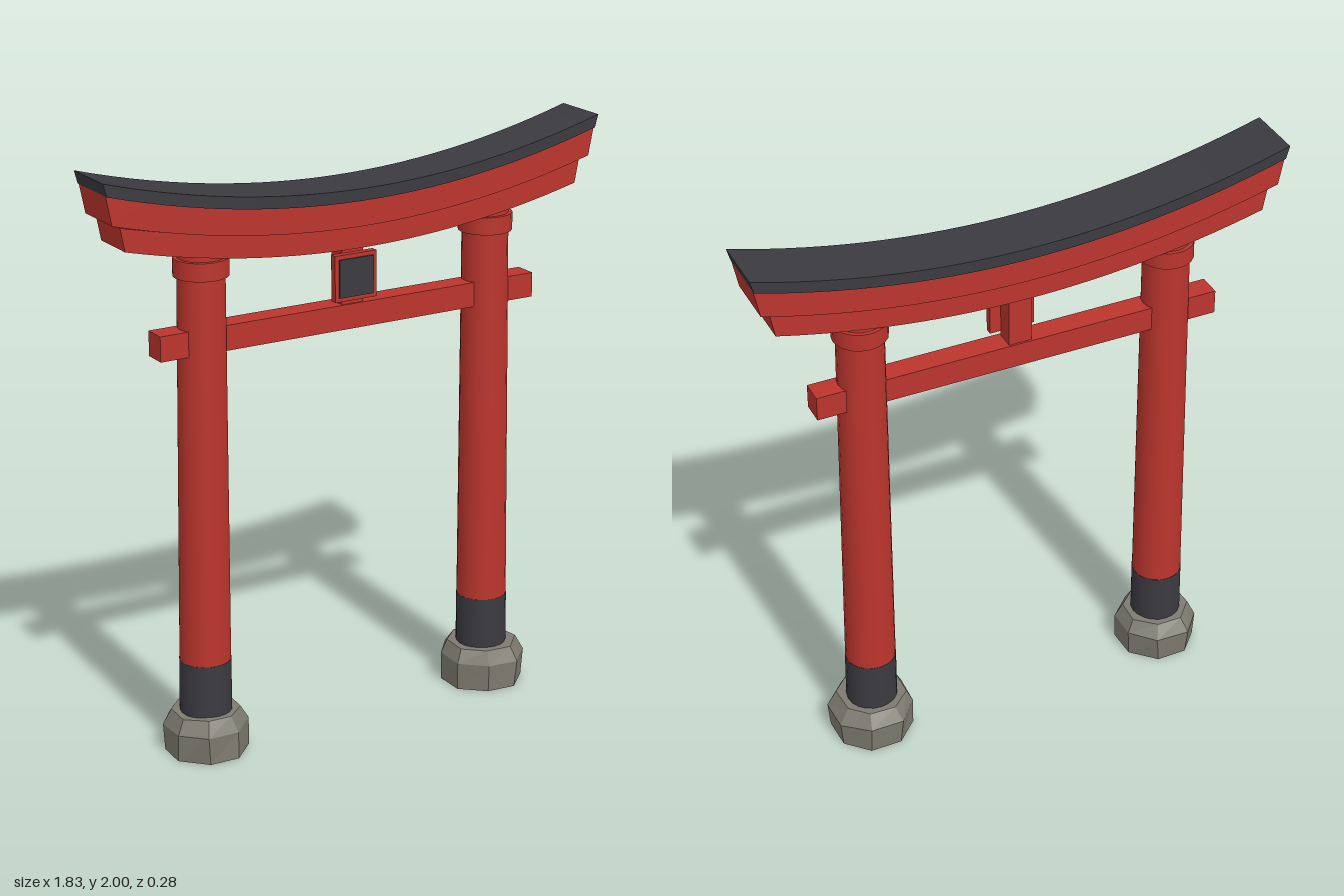
import * as THREE from 'three';

const mat = (name, color, flatShading = false) => {
  const m = new THREE.MeshStandardMaterial({ color, flatShading });
  m.name = name;
  return m;
};

export function createModel() {
  const red = mat('vermilion', 0xbb352d);
  const dark = mat('charcoal', 0x3a3a40);
  const stone = mat('stone', 0x7d7b70, true);
  const model = new THREE.Group();
  model.name = 'gate';

  const add = (parent, name, geometry, material, x = 0, y = 0, z = 0) => {
    const mesh = new THREE.Mesh(geometry, material);
    mesh.name = name;
    mesh.position.set(x, y, z);
    parent.add(mesh);
    return mesh;
  };
  const box = (name, w, y0, y1, z0, z1, material) =>
    add(model, name, new THREE.BoxGeometry(w, y1 - y0, z1 - z0), material, 0, (y0 + y1) / 2, (z0 + z1) / 2);

  // Upswept beam; each edge is [half length, height in the middle, height at the ends]
  const curvedBeam = (name, top, bottom, depth, material) => {
    const [tx, tm, te] = top, [bx, bm, be] = bottom;
    const shape = new THREE.Shape();
    shape.moveTo(-bx, be);
    shape.quadraticCurveTo(0, 2 * bm - be, bx, be);
    shape.lineTo(tx, te);
    shape.quadraticCurveTo(0, 2 * tm - te, -tx, te);
    shape.closePath();
    const g = new THREE.ExtrudeGeometry(shape, { depth, bevelEnabled: false, curveSegments: 28 });
    add(model, name, g, material, 0, 0, -depth / 2);
  };
  curvedBeam('roofCap', [0.917, 1.866, 2.0], [0.905, 1.826, 1.957], 0.2, dark);
  curvedBeam('upperLintel', [0.905, 1.826, 1.957], [0.886, 1.74, 1.862], 0.184, red);
  curvedBeam('lowerLintel', [0.855, 1.742, 1.85], [0.84, 1.666, 1.772], 0.164, red);

  // Tie beam, centre strut and tablet
  box('tieBeam', 1.412, 1.385, 1.469, -0.04, 0.04, red);
  box('centreStrut', 0.08, 1.46, 1.69, -0.033, 0.033, red);
  box('tabletFrame', 0.156, 1.486, 1.642, 0.03, 0.055, red);
  box('tabletPanel', 0.128, 1.5, 1.628, 0.055, 0.061, dark);

  // Pillars lean slightly inwards and taper upwards
  const radiusAt = (y) => 0.088 - 0.006 * y;
  const centreAt = (y) => 0.55 - 0.008 * y;
  const column = (parent, name, side, y0, y1, r0, r1, material) => {
    const g = new THREE.CylinderGeometry(r1, r0, y1 - y0, 20);
    g.translate(0, (y0 + y1) / 2, 0);
    const p = g.attributes.position;
    for (let i = 0; i < p.count; i++) p.setX(i, p.getX(i) + side * centreAt(p.getY(i)));
    add(parent, name, g, material);
  };

  // Rough eight-sided footing stone, corners nudged by a seeded generator
  const footing = (seed) => {
    let s = seed;
    const rnd = () => (s = (s * 16807) % 2147483647) / 2147483647 - 0.5;
    const rings = [[0, 0.14], [0.095, 0.147], [0.145, 0.117]];
    const n = 8, pos = [], idx = [];
    rings.forEach(([y, r], k) => {
      for (let i = 0; i < n; i++) {
        const a = ((i + 0.5) / n) * Math.PI * 2 + rnd() * 0.06;
        const q = r + rnd() * 0.012;
        pos.push(Math.sin(a) * q, k ? y + rnd() * 0.01 : y, Math.cos(a) * q);
      }
    });
    pos.push(0, 0, 0, 0, 0.147, 0);
    for (let i = 0; i < n; i++) {
      const j = (i + 1) % n;
      for (let k = 0; k < 2; k++) {
        const a = k * n + i, b = k * n + j;
        idx.push(a, b, b + n, a, b + n, a + n);
      }
      idx.push(3 * n, j, i, 3 * n + 1, 2 * n + i, 2 * n + j);
    }
    const g = new THREE.BufferGeometry();
    g.setAttribute('position', new THREE.Float32BufferAttribute(pos, 3));
    g.setIndex(idx);
    g.computeVertexNormals();
    return g;
  };

  for (const side of [-1, 1]) {
    const post = new THREE.Group();
    post.name = side > 0 ? 'leftPillar' : 'rightPillar';
    model.add(post);
    column(post, 'shaft', side, 0.326, 1.725, radiusAt(0.326), radiusAt(1.725), red);
    column(post, 'darkSleeve', side, 0.1, 0.326, 0.088, 0.087, dark);
    column(post, 'collar', side, 1.637, 1.697, 0.091, 0.091, red);
    add(post, 'footingStone', footing(side > 0 ? 4127 : 911), stone, side * 0.551);
  }
  return model;
}
